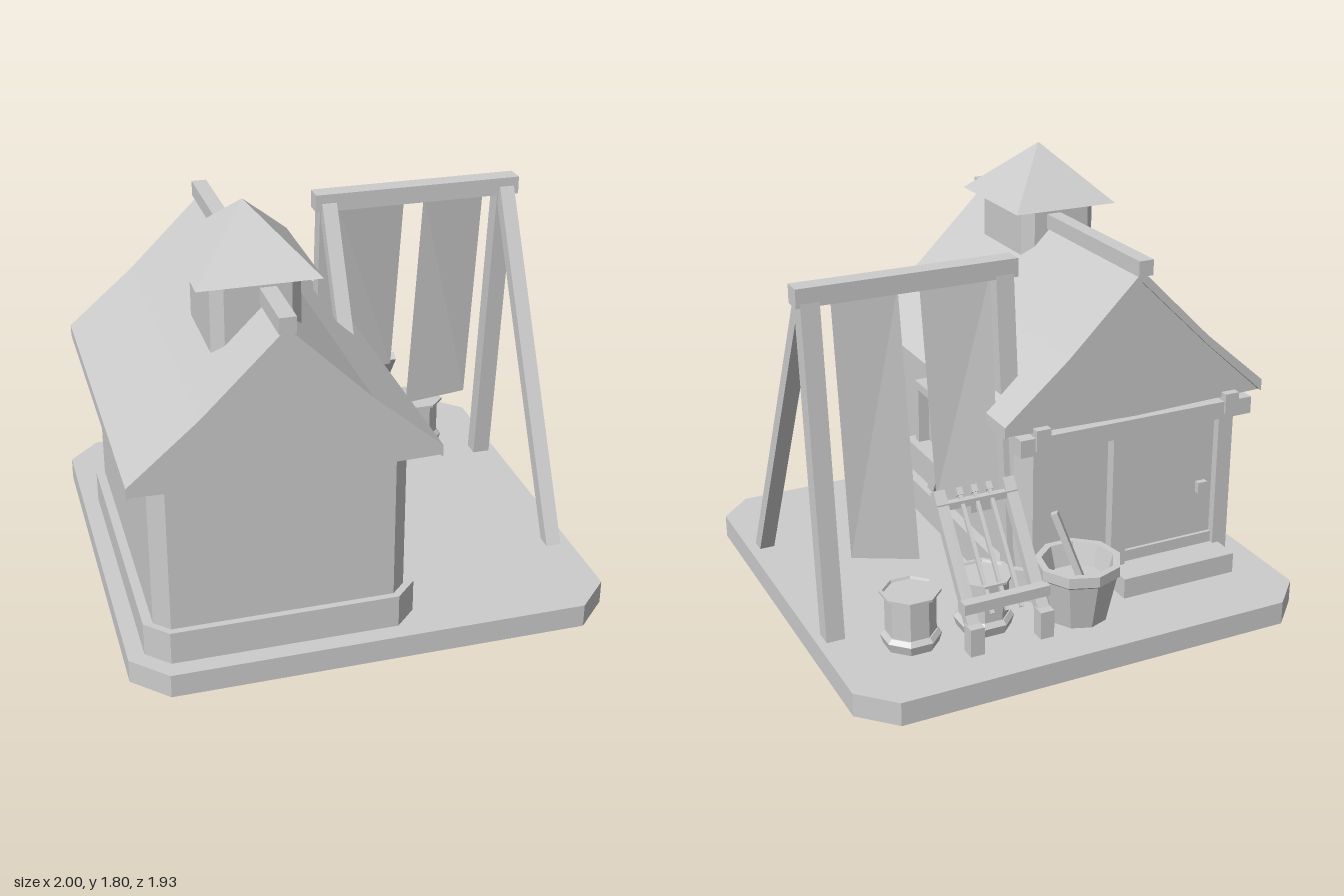
import * as THREE from 'three';

const stone = new THREE.MeshStandardMaterial({ color: 0xcccccc, flatShading: true, side: THREE.DoubleSide });
stone.name = 'pale grey';

export function createModel() {
  const model = new THREE.Group();
  model.name = 'cottageWorkshop';

  const add = (name, geometry) => {
    const mesh = new THREE.Mesh(geometry, stone);
    mesh.name = name;
    model.add(mesh);
    return mesh;
  };

  // box from its minimum and maximum on each axis
  const box = (name, x0, x1, y0, y1, z0, z1) =>
    add(name, new THREE.BoxGeometry(x1 - x0, y1 - y0, z1 - z0)
      .translate((x0 + x1) / 2, (y0 + y1) / 2, (z0 + z1) / 2));

  // square bar running between two points
  const bar = (name, a, b, w, d = w) => {
    const p = new THREE.Vector3(...a), q = new THREE.Vector3(...b);
    const mesh = add(name, new THREE.BoxGeometry(w, d, p.distanceTo(q)));
    mesh.position.copy(p).add(q).multiplyScalar(0.5);
    mesh.lookAt(q);
    return mesh;
  };

  // post with level ends that leans along z
  const leaningPost = (name, x0, x1, y0, y1, zBottom, zTop, depth) => {
    const g = new THREE.BoxGeometry(x1 - x0, y1 - y0, depth).translate((x0 + x1) / 2, (y0 + y1) / 2, 0);
    const p = g.attributes.position;
    for (let i = 0; i < p.count; i++) {
      const t = (p.getY(i) - y0) / (y1 - y0);
      p.setZ(i, p.getZ(i) + zBottom + (zTop - zBottom) * t);
    }
    g.computeVertexNormals();
    return add(name, g);
  };

  const polygon = pts => new THREE.Shape(pts.map(p => new THREE.Vector2(...p)));

  // rectangle with cut corners, half sizes w and d
  const cutRect = (w, d, c) => [
    [-w + c, -d], [w - c, -d], [w, -d + c], [w, d - c],
    [w - c, d], [-w + c, d], [-w, d - c], [-w, -d + c],
  ];
  const prism = (name, shape, x, z, y0, y1) =>
    add(name, new THREE.ExtrudeGeometry(shape, { depth: y1 - y0, bevelEnabled: false })
      .rotateX(-Math.PI / 2).translate(x, y0, z));

  // ground slab, hollow underneath
  const inner = cutRect(0.995, 0.96, 0.138);
  const rim = polygon(cutRect(1, 0.965, 0.14));
  rim.holes.push(new THREE.Path(inner.map(p => new THREE.Vector2(...p))));
  prism('groundRim', rim, 0, 0, 0, 0.1);
  prism('groundTop', polygon(inner), 0, 0, 0.09, 0.1);

  // house body
  const hx = -0.38, hz = 0.19;
  prism('foundation', polygon(cutRect(0.552, 0.7, 0.09)), hx, hz, 0.07, 0.24);
  prism('walls', polygon(cutRect(0.51, 0.672, 0.06)), hx - 0.003, hz, 0.24, 0.89);

  // roof with flared eaves, and the gable ends just inside it
  const alongZ = (name, pts, z0, z1) =>
    add(name, new THREE.ExtrudeGeometry(polygon(pts), { depth: z1 - z0, bevelEnabled: false })
      .translate(hx, 0, z0));
  alongZ('roof', [
    [-0.605, 0.93], [-0.325, 1.17], [0, 1.49], [0.325, 1.17], [0.605, 0.93],
    [0.605, 0.88], [0.325, 1.13], [0, 1.445], [-0.325, 1.13], [-0.605, 0.88],
  ], -0.545, 0.94);
  alongZ('gables', [
    [-0.6, 0.882], [0, 0.868], [0.6, 0.882], [0.325, 1.13], [0, 1.445], [-0.325, 1.13],
  ], -0.53, 0.925);
  box('ridgeBeam', -0.415, -0.35, 1.475, 1.54, -0.565, 0.96);

  // chimney and its pyramid cap
  prism('chimney', polygon(cutRect(0.175, 0.23, 0.045)), -0.42, 0.445, 1.15, 1.57);
  add('chimneyCap', new THREE.ConeGeometry(Math.SQRT1_2, 0.24, 4)
    .rotateY(Math.PI / 4).scale(0.48, 1, 0.545).translate(-0.42, 1.685, 0.44));

  // side window
  box('windowPane', 0.11, 0.14, 0.48, 0.75, -0.15, 0.42);
  box('windowTop', 0.11, 0.19, 0.74, 0.777, -0.176, 0.45);
  for (const z of [-0.176, 0.412]) box('windowJamb', 0.11, 0.19, 0.48, 0.74, z, z + 0.038);
  box('windowPost', 0.11, 0.18, 0.48, 0.74, 0.118, 0.158);
  box('windowSill', 0.11, 0.225, 0.415, 0.487, -0.22, 0.49);

  // back door, its frame and step
  box('door', -0.8, -0.34, 0.15, 0.8, -0.495, -0.45);
  for (const x of [-0.86, -0.35]) box('doorPost', x, x + 0.07, 0.1, 0.8, -0.53, -0.45);
  box('doorBeam', -0.93, 0.16, 0.79, 0.865, -0.555, -0.46);
  for (const x of [-0.86, 0.03]) box('beamPeg', x, x + 0.065, 0.81, 0.9, -0.565, -0.49);
  box('doorHandle', -0.755, -0.71, 0.44, 0.49, -0.52, -0.49);
  box('doorStep', -0.82, -0.28, 0.04, 0.19, -0.65, -0.45);

  // drying frame
  box('frameBeam', 0.055, 0.98, 1.463, 1.54, -0.315, -0.232);
  for (const x of [0.08, 0.89]) {
    leaningPost('frontBrace', x, x + 0.065, 0.1, 1.5, 0.475, -0.255, 0.065);
    leaningPost('backPost', x - 0.005, x + 0.073, 0.1, 1.5, -0.405, -0.275, 0.076);
  }

  // hanging cloths, slightly twisted at the hem
  const cloth = (xt, xb, yl, yr) => {
    const tl = [xt[0], 1.48, -0.275], tr = [xt[1], 1.48, -0.275];
    const bl = [xb[0], yl, -0.44], br = [xb[1], yr, -0.4];
    const g = new THREE.BufferGeometry();
    g.setAttribute('position', new THREE.Float32BufferAttribute([tl, bl, br, tl, br, tr].flat(), 3));
    g.computeVertexNormals();
    add('hangingCloth', g);
  };
  cloth([0.16, 0.465], [0.2, 0.46], 0.58, 0.62);
  cloth([0.555, 0.83], [0.555, 0.83], 0.38, 0.43);

  // turned tubs and the bucket
  const turned = (name, profile, sides, x, z) =>
    add(name, new THREE.LatheGeometry(profile.map(p => new THREE.Vector2(...p)), sides, Math.PI / sides)
      .translate(x, 0, z));
  for (const x of [0.335, 0.655]) {
    turned('tub', [
      [0, 0.1], [0.112, 0.1], [0.124, 0.14], [0.108, 0.158], [0.103, 0.158], [0.103, 0.315],
      [0.124, 0.325], [0.124, 0.335], [0.11, 0.335], [0.105, 0.325], [0, 0.325],
    ], 8, x, -0.575);
  }
  turned('bucket', [
    [0, 0.1], [0.125, 0.1], [0.168, 0.3], [0.18, 0.31], [0.18, 0.355],
    [0.15, 0.355], [0.125, 0.26], [0, 0.26],
  ], 9, -0.045, -0.67);
  bar('stirringStick', [-0.08, 0.2, -0.68], [0.03, 0.545, -0.6], 0.028);

  // leaning rack with thin rods
  for (const x of [0.155, 0.462]) {
    bar('rackRail', [x, 0.17, -0.765], [x, 0.65, -0.415], 0.05, 0.04);
    box('rackFoot', x - 0.03, x + 0.03, 0.1, 0.22, -0.79, -0.73);
  }
  bar('rackLowerBar', [0.12, 0.285, -0.722], [0.495, 0.285, -0.722], 0.045);
  bar('rackUpperBar', [0.13, 0.6, -0.455], [0.487, 0.6, -0.455], 0.03);
  for (const x of [0.245, 0.31, 0.375]) {
    bar('rackRod', [x, 0.24, -0.74], [x, 0.64, -0.43], 0.016);
    bar('rodKnob', [x, 0.625, -0.44], [x, 0.65, -0.42], 0.026);
  }

  return model;
}
